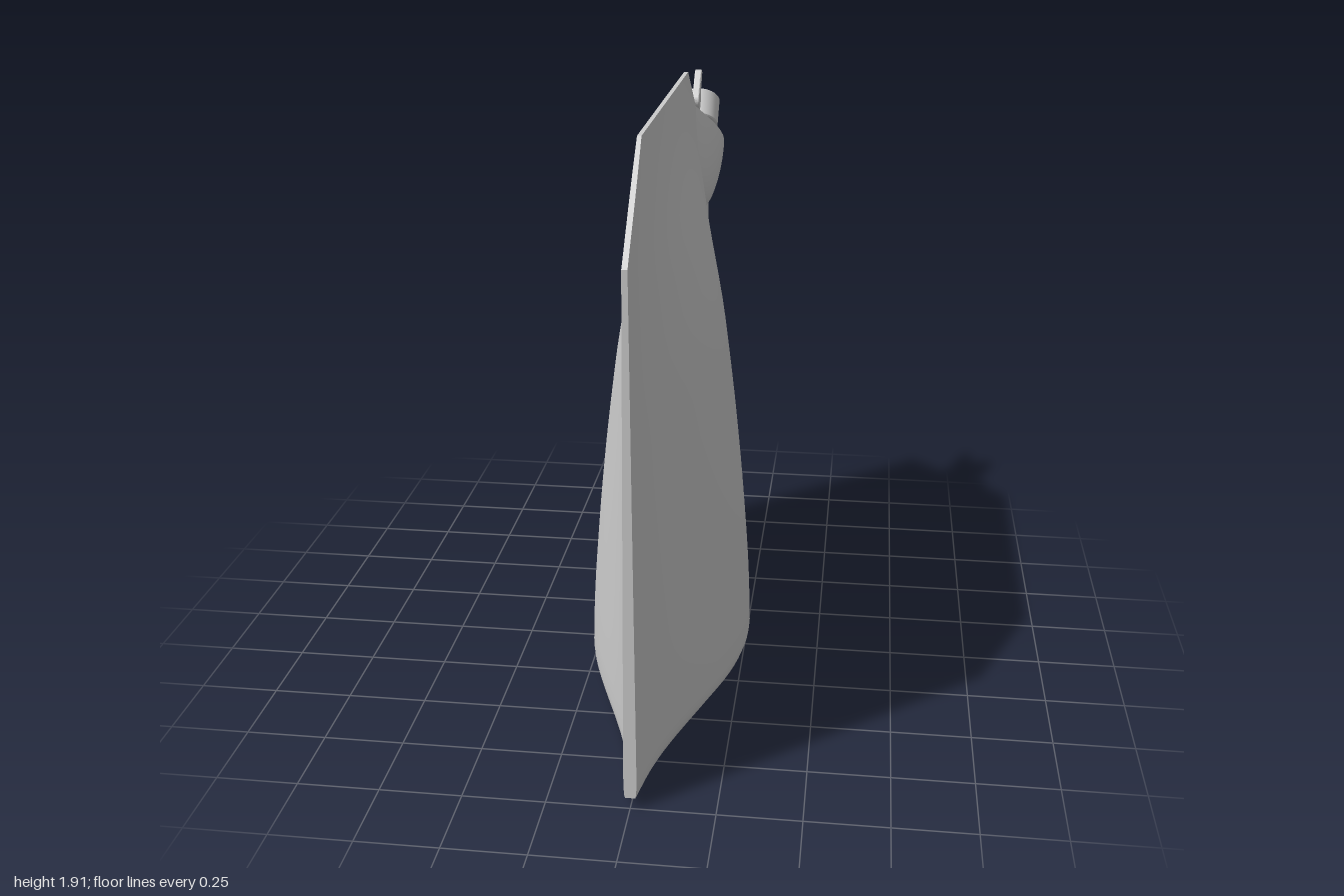
import * as THREE from 'three';
import { toCreasedNormals } from 'three/addons/utils/BufferGeometryUtils.js';

const material = new THREE.MeshStandardMaterial({ color: 0xcccccc });

function addMesh(parent, name, geometry) {
  const mesh = new THREE.Mesh(geometry, material);
  mesh.name = name;
  parent.add(mesh);
  return mesh;
}

// Skin a list of closed rings (each counterclockwise seen from the last ring), with ladder caps.
function loft(rings, crease) {
  const n = rings[0].length, index = [];
  rings.slice(1).forEach((_, r) => {
    for (let i = 0; i < n; i++) {
      const a = r * n + i, b = r * n + (i + 1) % n;
      index.push(a, b, b + n, a, b + n, a + n);
    }
  });
  const cap = (start, flip) => {
    for (let i = 0; i < n / 2 - 1; i++) {
      const [a, b, c, d] = [i, i + 1, n - 2 - i, n - 1 - i].map(k => start + k);
      if (flip) index.push(a, c, b, a, d, c);
      else index.push(a, b, c, a, c, d);
    }
  };
  cap(0, true);
  cap((rings.length - 1) * n, false);
  const geometry = new THREE.BufferGeometry();
  geometry.setAttribute('position', new THREE.Float32BufferAttribute(rings.flat(2), 3));
  geometry.setIndex(index);
  return toCreasedNormals(geometry, crease);
}

// Half thickness of the pouch at the middle, for evenly spaced heights.
const swell = new THREE.SplineCurve([0.246, 0.24, 0.224, 0.203, 0.176, 0.142, 0.088, 0.03, 0]
  .map((w, i) => new THREE.Vector2(w, i * 0.24)));
const belly = z => 0.5 + 0.5 * Math.cos(Math.PI * z);
const halfWidth = (y, z) =>
  swell.getPoint(Math.min(1, y / 1.92)).x * belly(z) + 0.02 - 0.014 * y / 1.91;

// Upper outline: flat top with one clipped corner at each end.
const topY = z => z > 0.72 ? 1.91 - (z - 0.72) * 0.29 / 0.28
  : z < -0.35 ? 1.91 + (z + 0.35) * 0.58 / 0.65 : 1.91;

function pouchGeometry() {
  const zs = [-1, -0.99, -0.97, 0.97, 0.99, 1, -0.35, 0.72];
  for (let i = -19; i <= 19; i++) zs.push(i * 0.05);
  const columns = [...new Set(zs.map(z => +z.toFixed(3)))].sort((a, b) => a - b);
  const rings = columns.map(z => {
    const base = 0.035 * Math.abs(z) ** 12;
    const recess = 0.14 * belly(z);
    const rimY = base + 0.07;
    const w = halfWidth(rimY, z);
    // Recessed base, rounded rim, then the side wall up to the seam.
    const half = [[0.002, base + recess], [0.3 * w, base + recess * 0.75], [0.52 * w, base + recess * 0.3],
      [0.68 * w, base + recess * 0.04], [0.78 * w, base], [0.88 * w, base + 0.008],
      [0.96 * w, base + 0.028], [0.99 * w, base + 0.048]];
    for (let i = 0; i <= 28; i++) {
      const y = THREE.MathUtils.lerp(rimY, topY(z), i / 28);
      half.push([halfWidth(y, z), y]);
    }
    const right = half.map(([x, y]) => [x, y, z]);
    return [...right, ...right.map(([x, y, zz]) => [-x, y, zz]).reverse()];
  });
  return loft(rings, 0.7);
}

// Boat-shaped fitment: pointed oval at the top, shrinking to a rounded keel.
function fitmentGeometry() {
  const half = [];
  for (let i = 0; i <= 24; i++) {
    const t = -Math.cos(Math.PI * i / 24);
    half.push([0.004 + 0.094 * Math.cos(Math.PI * t / 2) ** 1.25, 0.245 * t]);
  }
  const rings = [];
  for (let k = 0; k <= 14; k++) {
    const a = (1 - k / 14) * Math.PI * 0.49;
    const s = Math.cos(a) ** 0.8, y = -0.28 * Math.sin(a);
    const side = half.map(([x, z]) => [x * s, y, z * s]);
    rings.push([...side.map(([x, yy, z]) => [-x, yy, z]), ...side.reverse()].reverse());
  }
  // Rings run upwards, so they must turn counterclockwise seen from above.
  const turn = rings[14].reduce((sum, p, i, ring) => {
    const q = ring[(i + 1) % ring.length];
    return sum + p[2] * q[0] - q[2] * p[0];
  }, 0);
  // The skin faces outward for this turning direction.
  if (turn < 0) rings.forEach(ring => ring.reverse());
  return loft(rings, 0.6);
}

function lathe(points) {
  const geometry = new THREE.LatheGeometry(points.map(p => new THREE.Vector2(...p)), 40);
  return toCreasedNormals(geometry, 0.6);
}

function wingGeometry() {
  const s = new THREE.Shape();
  s.moveTo(0.06, 0.075);
  s.lineTo(0.1, 0.075);
  s.quadraticCurveTo(0.122, 0.08, 0.12, 0.105);
  s.lineTo(0.116, 0.2);
  s.quadraticCurveTo(0.105, 0.222, 0.094, 0.2);
  s.lineTo(0.09, 0.135);
  s.lineTo(0.06, 0.13);
  const geometry = new THREE.ExtrudeGeometry(s, {
    depth: 0.016, bevelEnabled: true, bevelThickness: 0.004, bevelSize: 0.004, bevelSegments: 2, curveSegments: 8,
  });
  geometry.translate(0, 0, -0.008);
  geometry.rotateY(-Math.PI / 2);
  return geometry;
}

export function createModel() {
  const model = new THREE.Group();
  model.name = 'spoutedPouch';
  addMesh(model, 'pouch', pouchGeometry());

  // Spout assembly, square to the sloping rear edge.
  const spout = new THREE.Group();
  spout.name = 'spout';
  spout.position.set(0, 1.626, -0.668);
  spout.rotation.x = -Math.atan2(0.65, 0.58) + (Math.atan2(0.65, 0.58) - Math.atan2(0.58, 0.65));
  model.add(spout);

  addMesh(spout, 'fitment', fitmentGeometry());
  addMesh(spout, 'neck', lathe([[0.042, -0.02], [0.042, 0.012], [0.056, 0.014], [0.056, 0.026],
    [0.042, 0.028], [0.042, 0.04], [0.052, 0.042], [0.052, 0.052], [0.042, 0.054], [0.042, 0.08]]));
  addMesh(spout, 'cap', lathe([[0, 0.06], [0.066, 0.06], [0.07, 0.064], [0.07, 0.16], [0.066, 0.165], [0, 0.165]]));
  for (const side of [0, 1]) {
    addMesh(spout, side ? 'rearCapWing' : 'frontCapWing', wingGeometry()).rotation.y = side * Math.PI;
  }
  return model;
}
